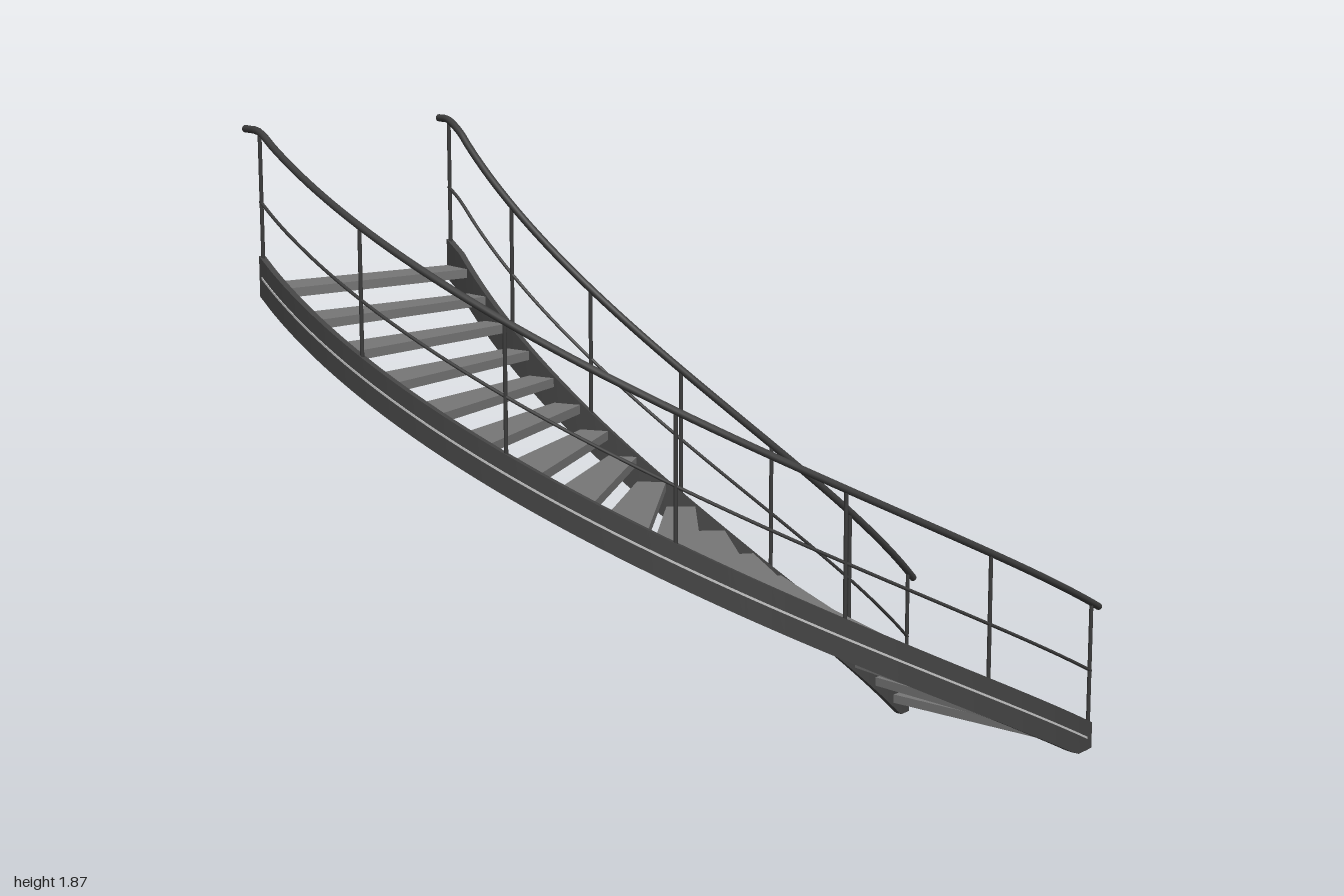
import * as THREE from 'three';
import { toCreasedNormals } from 'three/addons/utils/BufferGeometryUtils.js';

const CX = 0.51, CZ = -0.68;          // centre of the curve in plan
const OUTER = 1.5, INNER = 0.855;     // radii of the two stringers
const STEPS = 19, RISE = 0.0742;
const START = THREE.MathUtils.degToRad(17.5);
const STEP_ANGLE = THREE.MathUtils.degToRad(107.5) / 18.5;

// Point on the stair's plan at step p; the last half step runs straight back
function at(radius, p, y) {
  const a = START - Math.min(p, 18.5) * STEP_ANGLE;
  const back = Math.max(0, p - 18.5) * 0.14;
  return new THREE.Vector3(CX + radius * Math.sin(a), y, CZ + radius * Math.cos(a) - back);
}
const pitch = (p) => 0.08 + RISE * p;  // top edge of the stringers

// Solid swept through four-cornered sections
function loft(rings) {
  const pos = [];
  const quad = (a, b, c, d) => [a, b, c, a, c, d].forEach((v) => pos.push(v.x, v.y, v.z));
  for (let i = 0; i < rings.length - 1; i++) {
    const r = rings[i], n = rings[i + 1];
    for (let j = 0; j < 4; j++) {
      const k = (j + 1) % 4;
      quad(r[j], r[k], n[k], n[j]);
    }
  }
  const s = rings[0];
  quad(s[3], s[2], s[1], s[0]);
  quad(...rings[rings.length - 1]);
  const g = new THREE.BufferGeometry();
  g.setAttribute('position', new THREE.Float32BufferAttribute(pos, 3));
  return toCreasedNormals(g, 0.5);
}

const section = (r0, r1, p, y0, y1) => [at(r0, p, y0), at(r1, p, y0), at(r1, p, y1), at(r0, p, y1)];

function band(r0, r1, p0, p1, low, high) {
  const rings = [];
  for (let i = 0; i <= 76; i++) {
    const p = p0 + (p1 - p0) * i / 76;
    rings.push(section(r0, r1, p, Math.max(0, pitch(p) + low), pitch(p) + high));
  }
  return loft(rings);
}

function railPoints(radius, p0, p1, lift) {
  const pts = [];
  for (let i = 0; i <= 48; i++) {
    const p = p0 + (p1 - p0) * i / 48;
    pts.push(at(radius, p, pitch(p) + lift));
  }
  return pts;
}

// Tube with closed ends
function tube(points, radius, segments, sides) {
  const group = new THREE.Group();
  const curve = new THREE.CatmullRomCurve3(points);
  return { curve, geometry: new THREE.TubeGeometry(curve, segments, radius, sides), group };
}

export function createModel() {
  const model = new THREE.Group();
  model.name = 'curvedStaircase';
  const material = (name, color) => {
    const m = new THREE.MeshStandardMaterial({ color });
    m.name = name;
    return m;
  };
  const treadGrey = material('treadGrey', 0x777777);
  const steel = material('darkSteel', 0x444444);
  const railSteel = material('railSteel', 0x3c3c3c);
  const pale = material('paleTrim', 0xc4c4c4);

  const add = (parent, name, geometry, mat) => {
    const mesh = new THREE.Mesh(geometry, mat);
    mesh.name = name;
    parent.add(mesh);
    return mesh;
  };

  // Wedge treads
  const treads = new THREE.Group();
  treads.name = 'treads';
  model.add(treads);
  for (let k = 0; k < STEPS; k++) {
    const top = RISE * (k + 1);
    const rings = [k + 0.01, k + 0.995].map((p) => section(INNER + 0.005, OUTER - 0.005, p, top - 0.027, top));
    add(treads, 'tread', loft(rings), treadGrey);
  }

  // Stringer, trim line, posts and rails for each side
  for (const [side, radius, out, lead, tail] of [
    ['outer', OUTER, 1, -0.27, -0.83],
    ['inner', INNER, -1, -0.35, -0.8],
  ]) {
    const group = new THREE.Group();
    group.name = side + 'Side';
    model.add(group);

    add(group, side + 'Stringer', band(radius - 0.01, radius + 0.01, 0, STEPS, -0.12, 0), steel);
    const face = radius + out * 0.01;
    add(group, side + 'TrimLine',
      band(Math.min(face, face + out * 0.002), Math.max(face, face + out * 0.002), 0.2, STEPS - 0.1, -0.059, -0.052), pale);

    // Handrail levels out at the top
    const pts = railPoints(radius, lead, 18.85, 0.37);
    const level = pts[pts.length - 1].y + 0.008;
    for (const t of [0.35, 0.7, 1]) {
      const z = THREE.MathUtils.lerp(-0.73, tail, t);
      pts.push(new THREE.Vector3(CX - radius, level, z));
    }
    const rail = tube(pts, 0.011, 120, 10);
    add(group, side + 'Handrail', rail.geometry, railSteel);
    for (const t of [0, 1]) {
      const cap = add(group, side + 'HandrailEnd', new THREE.CircleGeometry(0.011, 10), railSteel);
      const dir = rail.curve.getTangent(t).multiplyScalar(t ? 1 : -1);
      cap.position.copy(rail.curve.getPoint(t));
      cap.quaternion.setFromUnitVectors(new THREE.Vector3(0, 0, 1), dir);
    }

    const mid = tube(railPoints(radius, 0, STEPS, 0.16), 0.005, 96, 8);
    add(group, side + 'MidRail', mid.geometry, railSteel);

    // Posts every sixth of the run
    for (let i = 0; i <= 6; i++) {
      const p = THREE.MathUtils.lerp(0.05, STEPS - 0.05, i / 6);
      const post = add(group, side + 'Post', new THREE.CylinderGeometry(0.006, 0.006, 0.39, 8), railSteel);
      post.position.copy(at(radius, p, pitch(p) + 0.175));
    }
  }
  return model;
}
